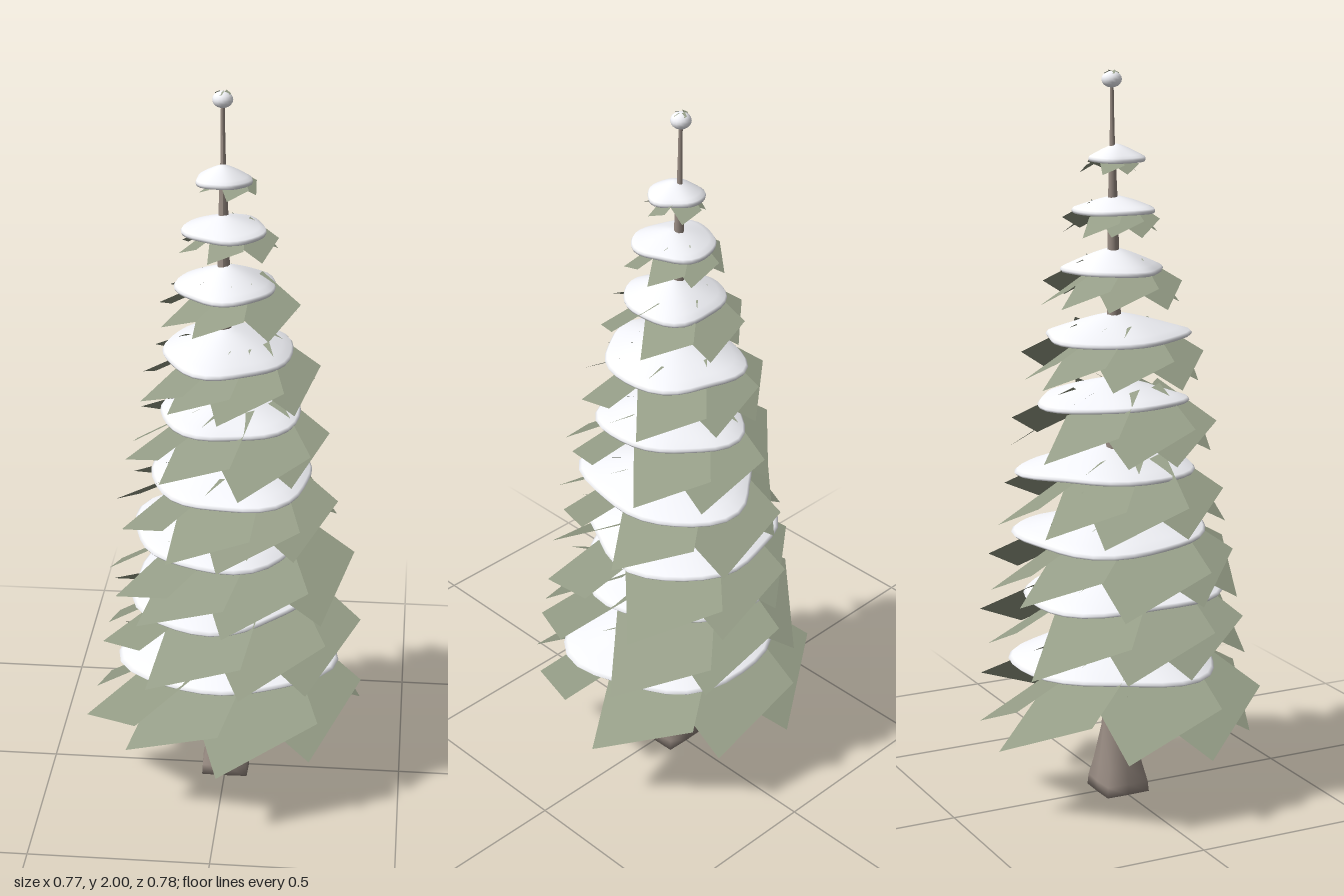
import * as THREE from 'three';
import { mergeVertices } from 'three/addons/utils/BufferGeometryUtils.js';

const bark = new THREE.MeshStandardMaterial({ color: 0x9a8d84 });
const needles = new THREE.MeshStandardMaterial({ color: 0x949c86, side: THREE.DoubleSide });
const snow = new THREE.MeshStandardMaterial({ color: 0xf4f5fa, side: THREE.DoubleSide });

// Branch directions in degrees, fuller at the bottom
const FULL = [27, 67, 110, 145, 180, 238, 273, 328];
const MIDDLE = [25, 66, 104, 143, 182, 226, 270, 318];
const SPARSE = [25, 95, 140, 182, 225, 270, 320];
const TOP = [0, 60, 150, 205, 275];

// Per tier: snow rim height, snow radius in x and z, snow centre x and z, dome height, branch reach, directions
const TIERS = [
  [0.39, 0.30, 0.28, 0.01, -0.01, 0.08, 0.36, FULL],
  [0.59, 0.25, 0.28, -0.02, 0.0, 0.065, 0.335, MIDDLE],
  [0.755, 0.25, 0.27, -0.01, -0.03, 0.06, 0.315, MIDDLE],
  [0.93, 0.22, 0.25, 0.02, -0.02, 0.06, 0.285, MIDDLE],
  [1.12, 0.19, 0.205, 0.01, -0.015, 0.055, 0.26, MIDDLE],
  [1.295, 0.175, 0.2, 0.0, -0.01, 0.06, 0.225, MIDDLE],
  [1.475, 0.135, 0.135, 0.0, -0.015, 0.055, 0.175, SPARSE],
  [1.635, 0.11, 0.11, -0.005, -0.01, 0.033, 0.12, SPARSE],
  [1.77, 0.073, 0.075, -0.01, -0.01, 0.035, 0.073, TOP],
];

// The stem leans slightly as it rises
const leanX = (y) => -0.012 * y / 2;
const leanZ = (y) => -0.025 * y / 2;

function add(parent, geometry, material, name) {
  const mesh = new THREE.Mesh(geometry, material);
  mesh.name = name;
  parent.add(mesh);
  return mesh;
}

function lathe(points, sides) {
  return new THREE.LatheGeometry(points.map(([r, y]) => new THREE.Vector2(r, y)), sides);
}

// Leaning stem whose foot spreads from round into a square
function stem(points) {
  const g = lathe(points, 8);
  const p = g.attributes.position;
  for (let i = 0; i < p.count; i++) {
    const x = p.getX(i), y = p.getY(i), z = p.getZ(i);
    const diagonal = Math.abs(Math.sin(2 * Math.atan2(z, x)));
    const k = 1 + 0.38 * diagonal * Math.max(0, 1 - y / 0.22);
    p.setXYZ(i, x * k + leanX(y), y, z * k + leanZ(y));
  }
  g.computeVertexNormals();
  return g;
}

// Flat branch card that slopes outward and rolls to one side
function branchCard(reach, rimY, angle, cx, cz) {
  const g = new THREE.PlaneGeometry(1, 1);
  const p = g.attributes.position;
  const c = Math.cos(angle), s = Math.sin(angle);
  for (let i = 0; i < p.count; i++) {
    const v = p.getX(i) * 0.8 * reach;
    const u = (0.65 - p.getY(i) * 0.7) * reach;
    const y = rimY - 0.36 * reach + 0.53 * (reach - u) - 0.41 * v;
    p.setXYZ(i, cx + u * c - v * s, y, cz + u * s + v * c);
  }
  g.computeVertexNormals();
  return g;
}

// Thin snow dome with a sharp, slightly wavy rim
function snowCap([rimY, rx, rz, cx, cz, h], tier) {
  const profile = [];
  const dome = (r) => h * (1 - Math.pow(r, 1.3));
  for (let i = 0; i <= 7; i++) profile.push([0.98 * i / 7, dome(0.98 * i / 7) - 0.008]);
  profile.push([1, 0]);
  for (let i = 7; i >= 0; i--) profile.push([0.97 * i / 7, dome(0.97 * i / 7) + 0.004]);
  let g = lathe(profile, 32);
  const p = g.attributes.position;
  for (let i = 0; i < p.count; i++) {
    const x = p.getX(i), z = p.getZ(i), r = Math.hypot(x, z), a = Math.atan2(z, x);
    const k = 1 + 0.05 * Math.sin(3 * a + tier * 1.7) * r + 0.03 * Math.sin(5 * a + tier) * r;
    const wave = 0.02 * rx * r * r * Math.sin(2 * a + tier * 2.1);
    p.setXYZ(i, cx + x * rx * k, rimY + p.getY(i) + wave, cz + z * rz * k);
  }
  g.deleteAttribute('uv');
  g.deleteAttribute('normal');
  g = mergeVertices(g);
  g.computeVertexNormals();
  return g;
}

export function createModel() {
  const tree = new THREE.Group();
  tree.name = 'snowyFirTree';

  // Trunk with flared square foot, tapering into the top shoot
  add(tree, stem([[0, 0], [0.066, 0], [0.066, 0.03], [0.058, 0.08], [0.045, 0.18],
    [0.037, 0.28], [0.032, 0.5], [0.027, 0.9], [0.021, 1.3], [0.014, 1.65], [0.008, 1.8]]), bark, 'trunk');
  add(tree, stem([[0.008, 1.78], [0.006, 1.88], [0.005, 1.985]]), bark, 'topShoot');

  // Tiers of drooping branches, each under a cap of snow
  TIERS.forEach((tier, t) => {
    const [rimY, , , , , , reach, directions] = tier;
    const group = new THREE.Group();
    group.name = `tier${t + 1}`;
    const shift = t > 0 ? 0.015 : 0;
    directions.forEach((deg, i) => {
      const turn = THREE.MathUtils.degToRad(deg + (t > 0 ? 7 * Math.sin(t * 2.3 + i * 1.9) : 0));
      const length = reach * (1 + 0.03 * Math.sin(t * 1.3 + i * 2.7));
      add(group, branchCard(length, rimY, turn, leanX(rimY) + shift, leanZ(rimY)), needles, 'branch');
    });
    add(group, snowCap(tier, t), snow, 'snowCap');
    tree.add(group);
  });

  // Ball of snow on the tip, with a tuft of needles
  const ball = add(tree, new THREE.SphereGeometry(0.027, 16, 10), snow, 'tipSnow');
  ball.scale.y = 0.8;
  ball.position.set(leanX(2), 1.977, leanZ(2));
  for (let i = 0; i < 4; i++) {
    add(tree, branchCard(0.02, 1.998, i * Math.PI / 2 + 0.4, leanX(2), leanZ(2)), needles, 'tipNeedles');
  }
  return tree;
}
